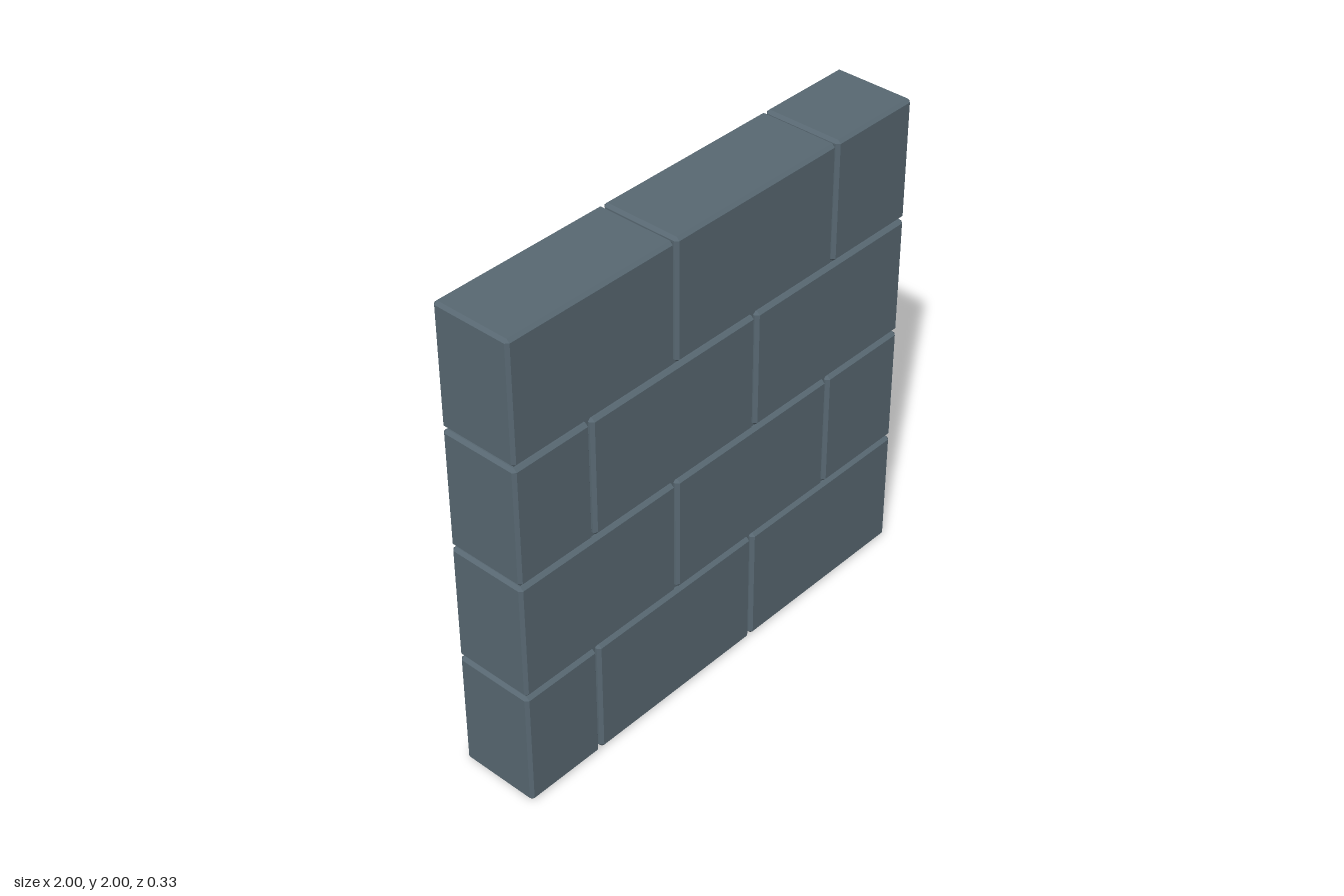
import * as THREE from 'three';
import { ConvexGeometry } from 'three/addons/geometries/ConvexGeometry.js';

const DEPTH = 0.334, ROW = 0.5, GAP = 0.008, CHAMFER = 0.012;

// Box with every edge cut flat: three corner points per original corner
function chamferedBox(w, h, d, c) {
  const points = [];
  for (const sx of [-1, 1]) for (const sy of [-1, 1]) for (const sz of [-1, 1]) {
    const x = w / 2, y = h / 2, z = d / 2;
    points.push(
      new THREE.Vector3(sx * x, sy * (y - c), sz * (z - c)),
      new THREE.Vector3(sx * (x - c), sy * y, sz * (z - c)),
      new THREE.Vector3(sx * (x - c), sy * (y - c), sz * z)
    );
  }
  return new ConvexGeometry(points);
}

export function createModel() {
  const wall = new THREE.Group();
  wall.name = 'brickWall';
  const stone = new THREE.MeshStandardMaterial({ color: 0x586872 });
  stone.name = 'slate stone';

  // Two alternating courses, given by their joint positions
  const courses = [[-1, -0.647, 0.176, 1], [-1, -0.236, 0.587, 1]];

  for (let row = 0; row < 4; row++) {
    const course = new THREE.Group();
    course.name = 'course' + (row + 1);
    const joints = courses[row % 2];
    const y0 = row * ROW + (row > 0 ? GAP / 2 : 0);
    const y1 = (row + 1) * ROW - (row < 3 ? GAP / 2 : 0);
    for (let i = 0; i < 3; i++) {
      const x0 = joints[i] + (i > 0 ? GAP / 2 : 0);
      const x1 = joints[i + 1] - (i < 2 ? GAP / 2 : 0);
      const brick = new THREE.Mesh(chamferedBox(x1 - x0, y1 - y0, DEPTH, CHAMFER), stone);
      brick.name = 'brick';
      brick.position.set((x0 + x1) / 2, (y0 + y1) / 2, 0);
      course.add(brick);
    }
    wall.add(course);
  }

  // Recessed core that closes the joints
  const mortar = new THREE.Mesh(new THREE.BoxGeometry(1.96, 1.96, DEPTH - 0.04), stone);
  mortar.name = 'mortarCore';
  mortar.position.y = 1;
  wall.add(mortar);
  return wall;
}
